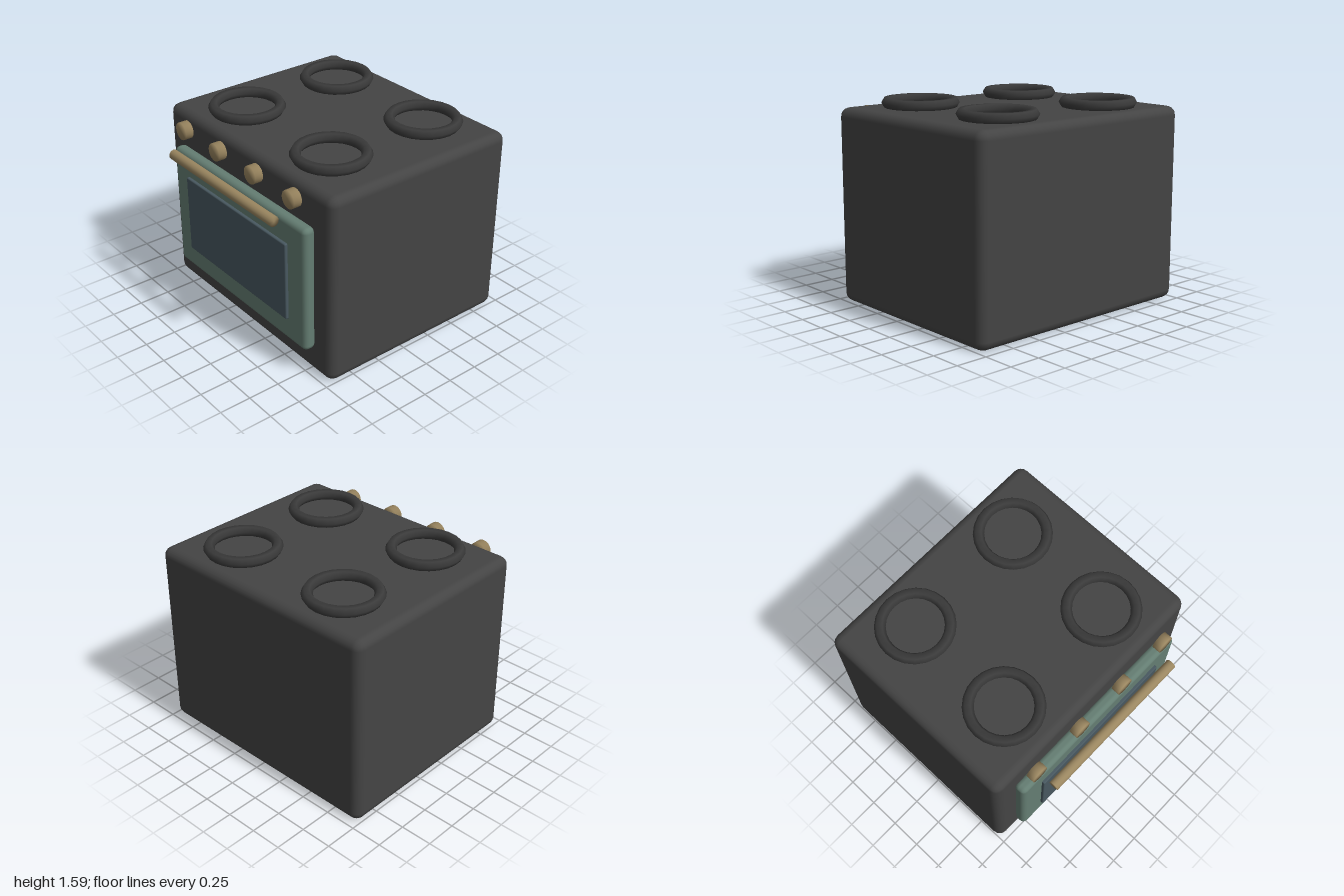
import * as THREE from 'three';
import { RoundedBoxGeometry } from 'three/addons/geometries/RoundedBoxGeometry.js';
import { mergeVertices } from 'three/addons/utils/BufferGeometryUtils.js';

const material = (color) => new THREE.MeshStandardMaterial({ color });

// Cylinder whose normals are shared between side and caps, for a soft look
function softCylinder(radius, length, sides) {
  const g = new THREE.CylinderGeometry(radius, radius, length, sides);
  g.deleteAttribute('normal');
  g.deleteAttribute('uv');
  const merged = mergeVertices(g, 1e-4);
  merged.computeVertexNormals();
  return merged;
}

export function createModel() {
  const model = new THREE.Group();
  model.name = 'stove';

  const bodyMat = material(0x444444);
  const burnerMat = material(0x3a3a3a);
  const doorMat = material(0x647d72);
  const windowMat = material(0x485860);
  const brassMat = material(0x9a8660);

  function add(name, geometry, mat, x, y, z) {
    const mesh = new THREE.Mesh(geometry, mat);
    mesh.name = name;
    mesh.position.set(x, y, z);
    model.add(mesh);
    return mesh;
  }

  // Oven body, door and window
  add('body', new RoundedBoxGeometry(2, 1.523, 1.665, 2, 0.07), bodyMat, 0, 0.7615, -0.123);
  add('door', new RoundedBoxGeometry(1.64, 1.02, 0.102, 2, 0.04), doorMat, 0, 0.735, 0.749);
  add('window', new RoundedBoxGeometry(1.252, 0.637, 0.04, 2, 0.01), windowMat, 0, 0.738, 0.804);

  // Door handle
  const handle = softCylinder(0.04, 1.268, 16).rotateZ(Math.PI / 2);
  add('handle', handle, brassMat, 0, 1.282, 0.915);

  // Row of control knobs
  const knob = softCylinder(0.07, 0.066, 20).rotateX(Math.PI / 2);
  for (let i = 0; i < 4; i++) {
    add('knob', knob, brassMat, -0.67 + i * 0.444, 1.43, 0.783);
  }

  // Burner rings on the cooktop
  const ring = new THREE.TorusGeometry(0.255, 0.0425, 6, 24).rotateX(-Math.PI / 2);
  for (const x of [-0.508, 0.508]) {
    for (const z of [-0.568, 0.315]) add('burner', ring, burnerMat, x, 1.558, z);
  }

  return model;
}
